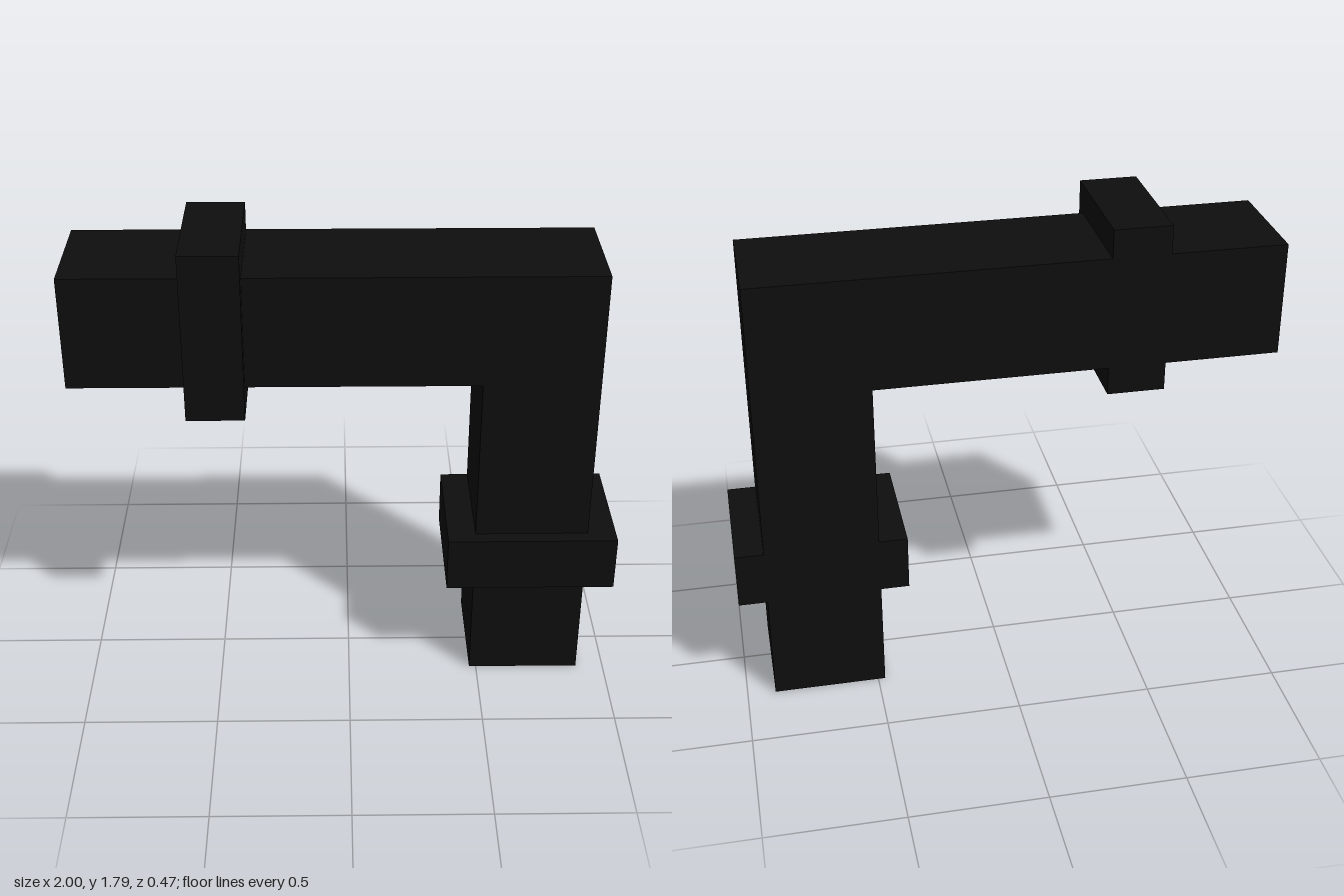
import * as THREE from 'three';

const U = 2 / 19; // module size: the whole pipe is 19 modules wide

const black = new THREE.MeshStandardMaterial({ color: 0x0e0e0e });
black.name = 'black';

// Prism from corner points given in modules
function prism(points, depth) {
  const shape = new THREE.Shape(points.map(([x, y]) => new THREE.Vector2(x * U, y * U)));
  return new THREE.ExtrudeGeometry(shape, { depth: depth * U, bevelEnabled: false });
}

// Collar wrapped round three sides of the pipe, flush and open at the back
function makeCollar(name, x, y, turn) {
  const geometry = prism([
    [-3, -2.25], [3, -2.25], [3, 2.25], [2, 2.25],
    [2, -1.75], [-2, -1.75], [-2, 2.25], [-3, 2.25],
  ], 2);
  geometry.translate(0, 0, -U);
  geometry.rotateX(-Math.PI / 2);
  const collar = new THREE.Mesh(geometry, black);
  collar.name = name;
  collar.position.set(x * U, y * U, 0);
  collar.rotation.z = turn;
  return collar;
}

export function createModel() {
  const model = new THREE.Group();
  model.name = 'elbowPipe';

  // Square pipe: horizontal arm joined to a vertical leg
  const pipe = new THREE.Mesh(prism([
    [4.5, 0], [8.5, 0], [8.5, 16], [-9.5, 16], [-9.5, 12], [4.5, 12],
  ], 4), black);
  pipe.name = 'pipe';
  pipe.position.z = -2.25 * U;
  model.add(pipe);

  // Collars on the arm and the leg
  model.add(makeCollar('armCollar', -4.5, 14, Math.PI / 2));
  model.add(makeCollar('legCollar', 6.5, 5, 0));

  return model;
}
